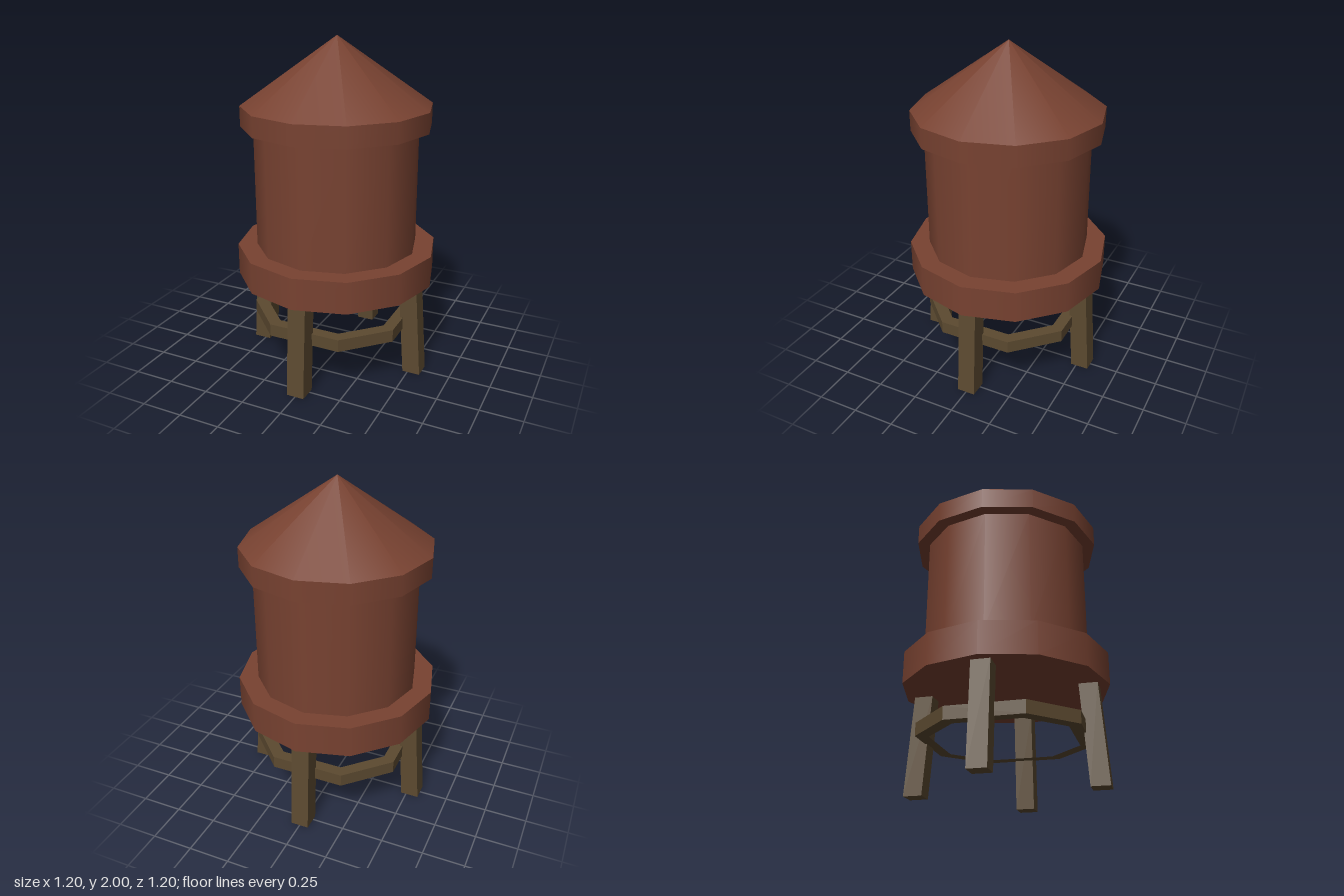
import * as THREE from 'three';

export function createModel() {
  const model = new THREE.Group();
  model.name = 'waterTower';

  const redWood = new THREE.MeshStandardMaterial({ color: 0x784231 });
  redWood.name = 'red brown';
  const timber = new THREE.MeshStandardMaterial({ color: 0x5c4a30 });
  timber.name = 'dark timber';

  const add = (name, geometry, material) => {
    const mesh = new THREE.Mesh(geometry, material);
    mesh.name = name;
    model.add(mesh);
    return mesh;
  };

  // Twelve-sided drum between two heights
  const drum = (name, radius, y0, y1) => {
    const g = new THREE.CylinderGeometry(radius, radius, y1 - y0, 12);
    g.translate(0, (y0 + y1) / 2, 0);
    return add(name, g, redWood);
  };
  drum('platform', 0.6, 0.575, 0.765);
  drum('tank', 0.485, 0.765, 1.49);
  drum('roofRim', 0.558, 1.49, 1.61);

  // Conical roof
  const roof = new THREE.ConeGeometry(0.558, 0.39, 12, 1, true);
  roof.translate(0, 1.805, 0);
  add('roof', roof, redWood);

  // Four legs leaning inward, with level feet
  const legHeight = 0.58;
  for (let i = 0; i < 4; i++) {
    const g = new THREE.BoxGeometry(0.108, legHeight, 0.108);
    g.translate(0, legHeight / 2, 0);
    const p = g.attributes.position;
    for (let k = 0; k < p.count; k++) {
      p.setZ(k, p.getZ(k) + 0.523 - 0.04 * p.getY(k) / legHeight);
    }
    g.computeVertexNormals();
    add('leg', g, timber).rotation.y = i * Math.PI / 2;
  }

  // Eight-sided brace ring joining the legs
  const octagon = (a, b) => [
    [b, a], [a, b], [a, -b], [b, -a], [-b, -a], [-a, -b], [-a, b], [-b, a],
  ].map(([x, y]) => new THREE.Vector2(x, y));
  const ring = new THREE.Shape(octagon(0.46, 0.22));
  ring.holes.push(new THREE.Path(octagon(0.39, 0.19)));
  const brace = new THREE.ExtrudeGeometry(ring, { depth: 0.075, bevelEnabled: false });
  brace.rotateX(-Math.PI / 2);
  brace.translate(0, 0.29, 0);
  add('braceRing', brace, timber);

  return model;
}
